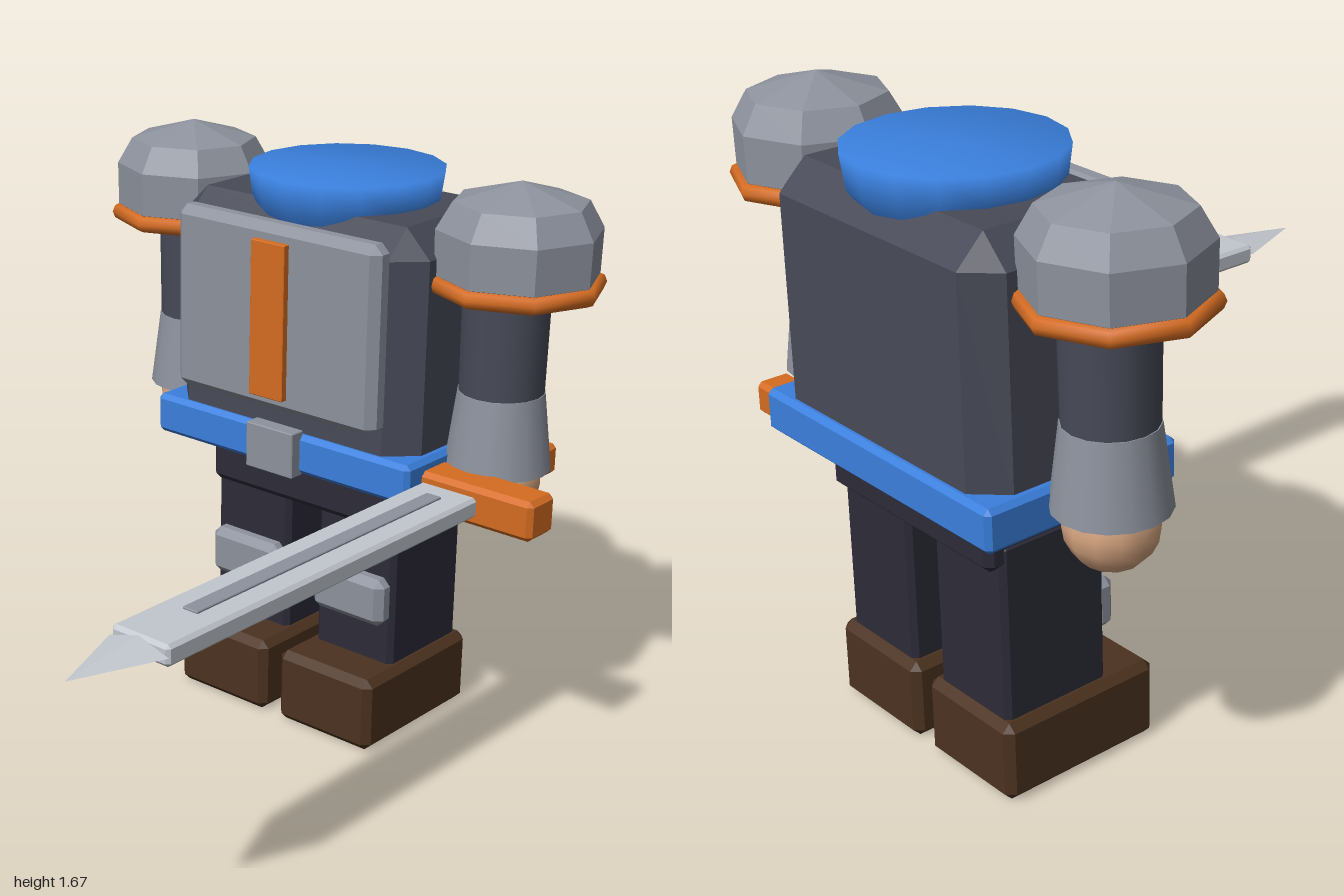
import * as THREE from 'three';
import { ConvexGeometry } from 'three/addons/geometries/ConvexGeometry.js';

const mat = (name, color) => {
  const m = new THREE.MeshStandardMaterial({ color });
  m.name = name;
  return m;
};

// Box with chamfered edges, given by its limits on each axis
function chamferBox([x0, x1], [y0, y1], [z0, z1], b) {
  const h = [(x1 - x0) / 2, (y1 - y0) / 2, (z1 - z0) / 2];
  const pts = [];
  for (const sx of [-1, 1]) for (const sy of [-1, 1]) for (const sz of [-1, 1]) {
    for (let axis = 0; axis < 3; axis++) {
      const p = h.map((v, i) => (i === axis ? v : v - b));
      pts.push(new THREE.Vector3(p[0] * sx, p[1] * sy, p[2] * sz));
    }
  }
  return new ConvexGeometry(pts).translate((x0 + x1) / 2, (y0 + y1) / 2, (z0 + z1) / 2);
}

// Lathe around y from [radius, height] pairs, listed bottom to top
const lathe = (pts, sides) =>
  new THREE.LatheGeometry(pts.map(([r, y]) => new THREE.Vector2(r, y)), sides);

// Faceted version of a geometry
function facet(geometry) {
  const g = geometry.toNonIndexed();
  g.computeVertexNormals();
  return g;
}

export function createModel() {
  const model = new THREE.Group();
  model.name = 'knight';

  const slate = mat('slate cloth', 0x474a57);
  const steel = mat('steel', 0x8d929d);
  const blue = mat('blue', 0x3a7fdc);
  const orange = mat('orange', 0xd46c22);
  const navy = mat('dark trousers', 0x2c2b38);
  const brown = mat('brown leather', 0x4b3220);
  const skin = mat('skin', 0xd6a580);
  const silver = mat('blade silver', 0xc2c7ce);

  const add = (parent, name, geometry, material) => {
    const mesh = new THREE.Mesh(geometry, material);
    mesh.name = name;
    parent.add(mesh);
    return mesh;
  };
  const Z = -0.7; // depth of the body axis

  // Torso, armour plate and belt
  add(model, 'torso', chamferBox([-0.435, 0.435], [0.82, 1.545], [-0.975, -0.425], 0.08), slate);
  add(model, 'chestPlate', chamferBox([-0.36, 0.36], [0.975, 1.515], [-0.45, -0.37], 0.025), steel);
  add(model, 'chestStripe', chamferBox([-0.06, 0.06], [1.02, 1.47], [-0.38, -0.35], 0.002), orange);
  add(model, 'belt', chamferBox([-0.463, 0.463], [0.795, 0.913], [-0.997, -0.405], 0.014), blue);
  add(model, 'buckle', chamferBox([-0.085, 0.085], [0.79, 0.925], [-0.42, -0.37], 0.003), steel);
  add(model, 'pelvis', chamferBox([-0.33, 0.33], [0.65, 0.85], [-0.9, -0.5], 0.02), navy);

  // Flat-topped collar with soft shading over the rim
  const collar = lathe([[0, 1.4], [0.2, 1.44], [0.268, 1.53], [0.281, 1.625], [0, 1.625]], 16);
  add(model, 'collar', collar.translate(0, 0, Z), blue);

  // Legs
  for (const [side, s] of [['left', 1], ['right', -1]]) {
    const leg = new THREE.Group();
    leg.name = side + 'Leg';
    model.add(leg);
    const span = (w) => [s * 0.195 - w / 2, s * 0.195 + w / 2];
    add(leg, 'shin', chamferBox(span(0.28), [0.18, 0.72], [-0.862, -0.537], 0.015), navy);
    add(leg, 'kneePad', chamferBox(span(0.255), [0.35, 0.495], [-0.56, -0.49], 0.022), steel);
    add(leg, 'boot', chamferBox(span(0.338), [0, 0.225], [-0.885, -0.395], 0.022), brown);
  }

  // Arms
  for (const [side, s] of [['left', 1], ['right', -1]]) {
    const arm = new THREE.Group();
    arm.name = side + 'Arm';
    arm.position.set(s * 0.555, 0, Z);
    model.add(arm);
    add(arm, 'upperArm', new THREE.CylinderGeometry(0.123, 0.119, 0.34, 16).translate(0, 1.235, 0), slate);
    add(arm, 'forearm', new THREE.CylinderGeometry(0.122, 0.15, 0.22, 16).translate(0, 0.975, 0), steel);
    add(arm, 'hand', new THREE.SphereGeometry(0.122, 12, 10).translate(0, 0.822, 0), skin);

    const shoulder = new THREE.Group();
    shoulder.name = 'shoulder';
    shoulder.position.x = s * 0.028;
    arm.add(shoulder);
    const dome = [[0, 1.345], [0.1, 1.345], [0.165, 1.365], [0.226, 1.42],
      [0.228, 1.545], [0.185, 1.62], [0, 1.674]];
    add(shoulder, 'pauldron', facet(lathe(dome, 8)), steel);
    const ring = new THREE.TorusGeometry(0.22, 0.026, 8, 8).rotateX(Math.PI / 2);
    add(shoulder, 'pauldronRing', ring.translate(0, 1.395, 0), orange);
  }

  // Sword held forward in the left hand
  const sword = new THREE.Group();
  sword.name = 'sword';
  sword.position.set(0.553, 0.825, 0);
  model.add(sword);
  add(sword, 'blade', chamferBox([-0.093, 0.093], [-0.029, 0.029], [-0.48, 0.757], 0.01), silver);
  add(sword, 'fuller', chamferBox([-0.024, 0.024], [-0.035, 0.035], [-0.405, 0.58], 0.002), steel);
  const tip = new THREE.ConeGeometry(0.095, 0.243, 4).rotateX(Math.PI / 2).scale(1, 0.3, 1);
  add(sword, 'bladeTip', facet(tip.translate(0, 0, 0.878)), silver);
  add(sword, 'crossguard', chamferBox([-0.266, 0.266], [-0.057, 0.057], [-0.59, -0.472], 0.014), orange);
  const grip = new THREE.CylinderGeometry(0.035, 0.035, 0.3, 8).rotateX(Math.PI / 2);
  add(sword, 'grip', grip.translate(0, 0, -0.71), brown);
  add(sword, 'pommel', chamferBox([-0.045, 0.045], [-0.045, 0.045], [-0.945, -0.845], 0.012), orange);

  return model;
}
